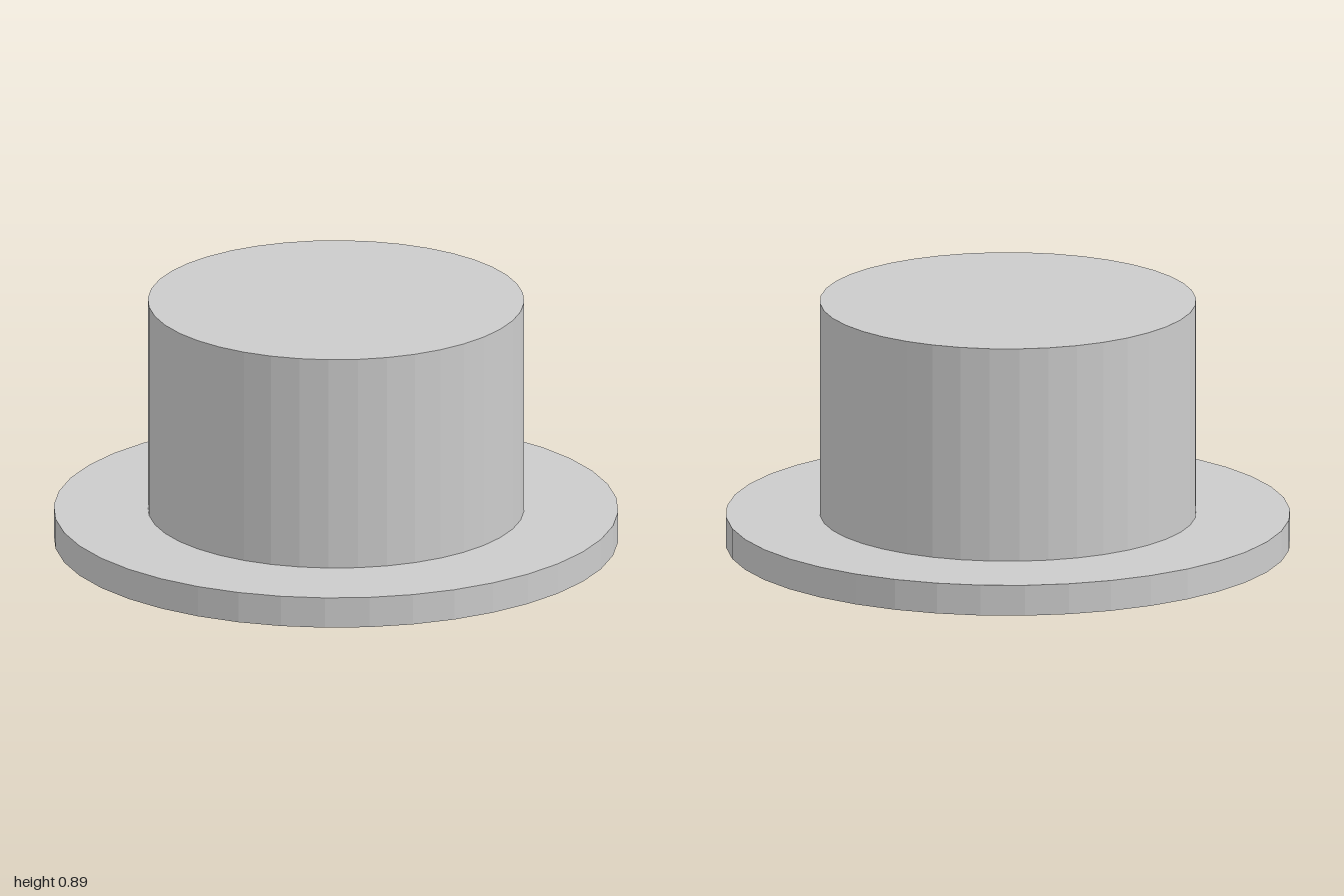
import * as THREE from 'three';

const SIDES = 40;
const BRIM_R = 1, CROWN_R = 2 / 3;
const BRIM_H = 1 / 9, HEIGHT = 8 / 9;

const material = new THREE.MeshStandardMaterial({
  color: 0xcccccc, flatShading: true, side: THREE.DoubleSide,
});

function part(name, geometry, y) {
  const flat = geometry.toNonIndexed().translate(0, y, 0);
  flat.computeVertexNormals();
  const mesh = new THREE.Mesh(flat, material);
  mesh.name = name;
  return mesh;
}

// Open tube standing on its lower edge
function tube(radius, bottom, top) {
  return [new THREE.CylinderGeometry(radius, radius, top - bottom, SIDES, 1, true), (bottom + top) / 2];
}

export function createModel() {
  const hat = new THREE.Group();
  hat.name = 'topHat';

  // Brim: a thin ring with a lip turned down, hollow underneath
  hat.add(part('brimLip', ...tube(BRIM_R, 0, BRIM_H)));
  hat.add(part('brim', new THREE.RingGeometry(CROWN_R, BRIM_R, SIDES).rotateX(-Math.PI / 2), BRIM_H));

  // Crown: a thin hollow tube rising from the brim, closed by a disc
  hat.add(part('crownWall', ...tube(CROWN_R, BRIM_H, HEIGHT)));
  hat.add(part('crownTop', new THREE.CircleGeometry(CROWN_R, SIDES).rotateX(-Math.PI / 2), HEIGHT));

  return hat;
}
